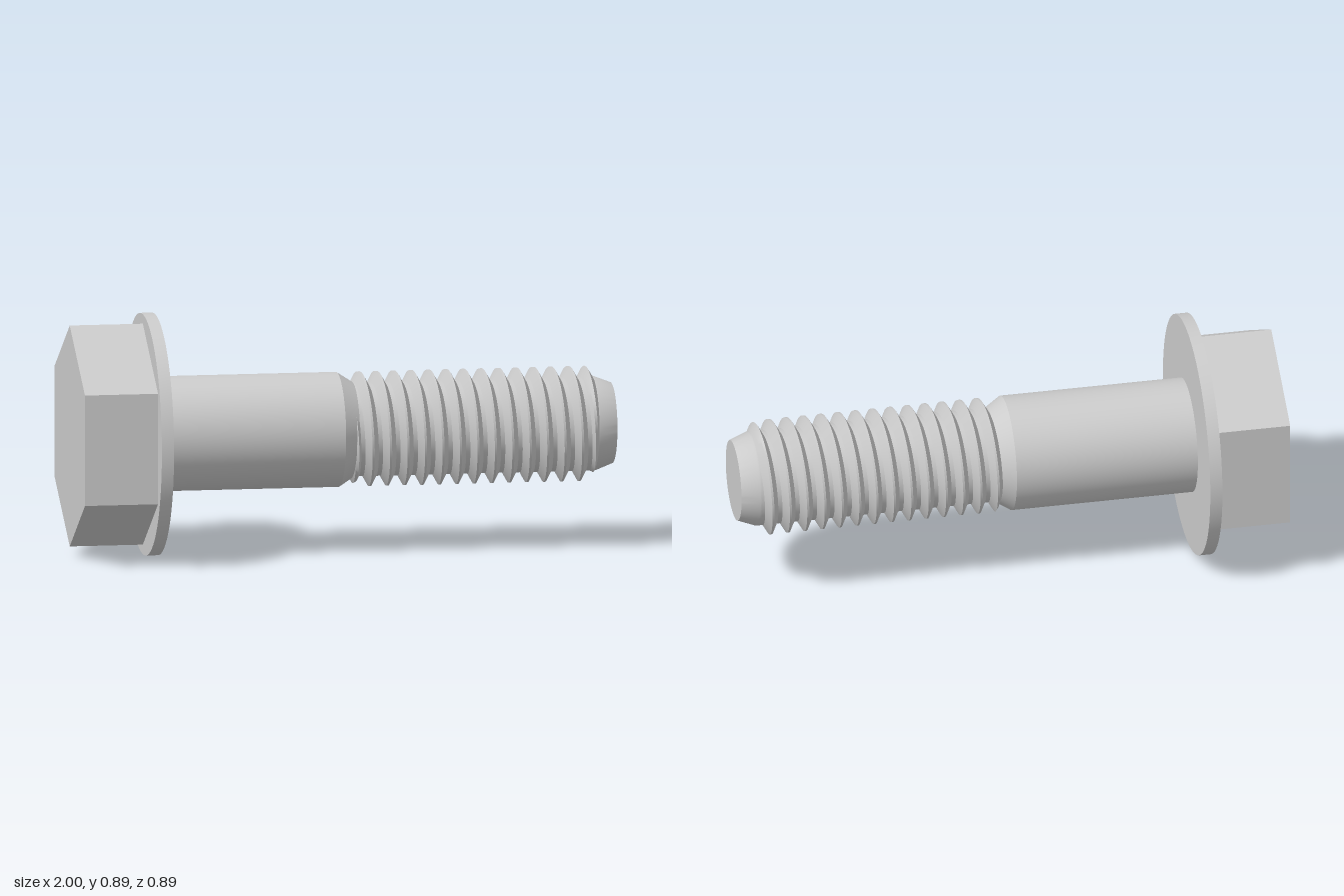
import * as THREE from 'three';
import { toCreasedNormals } from 'three/addons/utils/BufferGeometryUtils.js';

const SEG = 96, AXIS_Y = 0.443;
const ROOT = 0.173, CREST = 0.21, PITCH = 0.0645;
const T0 = 0.03, T1 = 0.93;      // thread start and end along the axis
const PHASE = 0.072;             // axial position of a crest at angle 0

const grey = (opts = {}) => new THREE.MeshStandardMaterial({ color: 0xcccccc, ...opts });

function part(name, geometry, material = grey()) {
  const mesh = new THREE.Mesh(geometry, material);
  mesh.name = name;
  return mesh;
}

// Turned part from [radius, axial position] pairs, with sharp edges kept
function turned(name, profile) {
  const points = profile.map(([r, a]) => new THREE.Vector2(r, a));
  return part(name, toCreasedNormals(new THREE.LatheGeometry(points, SEG), 0.4), grey({ side: THREE.DoubleSide }));
}

// Thread radius at axial position a and angle t
function threadRadius(a, t) {
  let u = (a - PHASE) / PITCH - t / (2 * Math.PI);
  u = Math.abs(u - Math.round(u));                       // 0 at crest, 0.5 at root
  const k = THREE.MathUtils.clamp((0.38 - u) / 0.32, 0, 1);
  const r = ROOT + (CREST - ROOT) * k;
  return Math.min(r, ROOT + (a - T0) * 2, ROOT + (T1 - a) * 1.7);
}

// Right-hand helical surface; rows follow the helix and are clamped at both ends
function threadGeometry() {
  const steps = [-0.06, 0.06, 0.22, 0.38, 0.62, 0.78];
  const rows = [];
  for (let n = -3; n <= 15; n++) for (const s of steps) rows.push(PHASE + (n + s) * PITCH);
  const point = (j, i) => {
    const t = (i / SEG) * 2 * Math.PI;
    const a = THREE.MathUtils.clamp(rows[j] + (PITCH * i) / SEG, T0, T1);
    const r = threadRadius(a, t);
    return new THREE.Vector3(-r * Math.cos(t), a, r * Math.sin(t));
  };
  const pos = [];
  const tri = new THREE.Triangle();
  const addTri = (a, b, c) => {
    if (tri.set(a, b, c).getArea() < 1e-8) return;       // skip collapsed ends
    for (const p of [a, b, c]) pos.push(p.x, p.y, p.z);
  };
  for (let j = 0; j < rows.length - 1; j++) {
    for (let i = 0; i < SEG; i++) {
      const a = point(j, i), b = point(j, i + 1), c = point(j + 1, i + 1), d = point(j + 1, i);
      addTri(a, b, c);
      addTri(a, c, d);
    }
  }
  const g = new THREE.BufferGeometry();
  g.setAttribute('position', new THREE.Float32BufferAttribute(pos, 3));
  return toCreasedNormals(g, 0.5);
}

export function createModel() {
  const model = new THREE.Group();
  model.name = 'flangedHexBolt';

  // Built along local +y, then laid down so the tip points to +x
  const bolt = new THREE.Group();
  bolt.name = 'bolt';
  bolt.rotation.z = -Math.PI / 2;
  bolt.position.y = AXIS_Y;
  model.add(bolt);

  // Hexagonal head with corners up and down
  const head = part('hexHead', new THREE.CylinderGeometry(0.408, 0.408, 0.27, 6, 1, false, Math.PI / 6), grey({ flatShading: true }));
  head.position.y = -0.865;
  bolt.add(head);

  bolt.add(turned('flange', [[0, -0.73], [0.443, -0.73], [0.443, -0.685], [0, -0.685]]));

  // Plain shank, chamfered down to the thread root
  bolt.add(turned('shank', [[CREST, -0.69], [CREST, -0.012], [ROOT, 0.045]]));

  bolt.add(part('thread', threadGeometry()));

  // Tapered tip with a flat end
  bolt.add(turned('tip', [[ROOT, 0.925], [ROOT, 0.935], [0.148, 1], [0, 1]]));

  return model;
}
